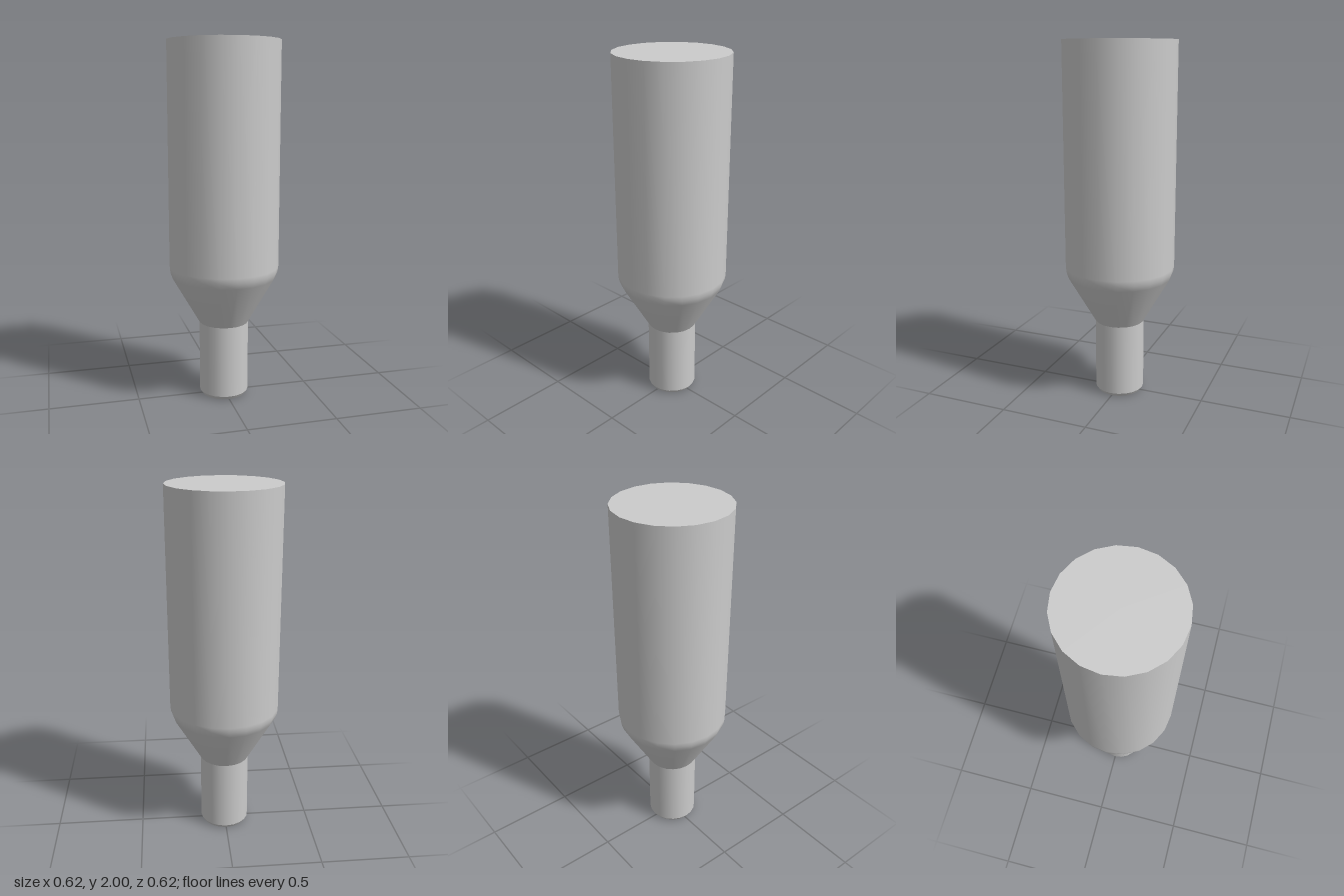
import * as THREE from 'three';

const SIDES = 20;

export function createModel() {
  const group = new THREE.Group();
  const material = new THREE.MeshStandardMaterial({ color: 0xcccccc });

  // Profiles run bottom to top as [radius, height]; separate lathes keep edges sharp.
  const addLathe = (name, profile) => {
    const points = profile.map(([r, y]) => new THREE.Vector2(r, y));
    const mesh = new THREE.Mesh(new THREE.LatheGeometry(points, SIDES), material);
    mesh.name = name;
    group.add(mesh);
  };

  // Narrow stem with a small chamfer at its foot
  addLathe('stemBase', [[0, 0], [0.127, 0]]);
  addLathe('stemChamfer', [[0.127, 0], [0.14, 0.02]]);
  addLathe('stem', [[0.14, 0.02], [0.14, 0.43]]);

  // Tapered shoulder flowing smoothly into the wide body
  addLathe('body', [[0.14, 0.43], [0.294, 0.697], [0.306, 0.73], [0.31, 0.76], [0.31, 2]]);
  addLathe('bodyTop', [[0.31, 2], [0, 2]]);

  return group;
}
